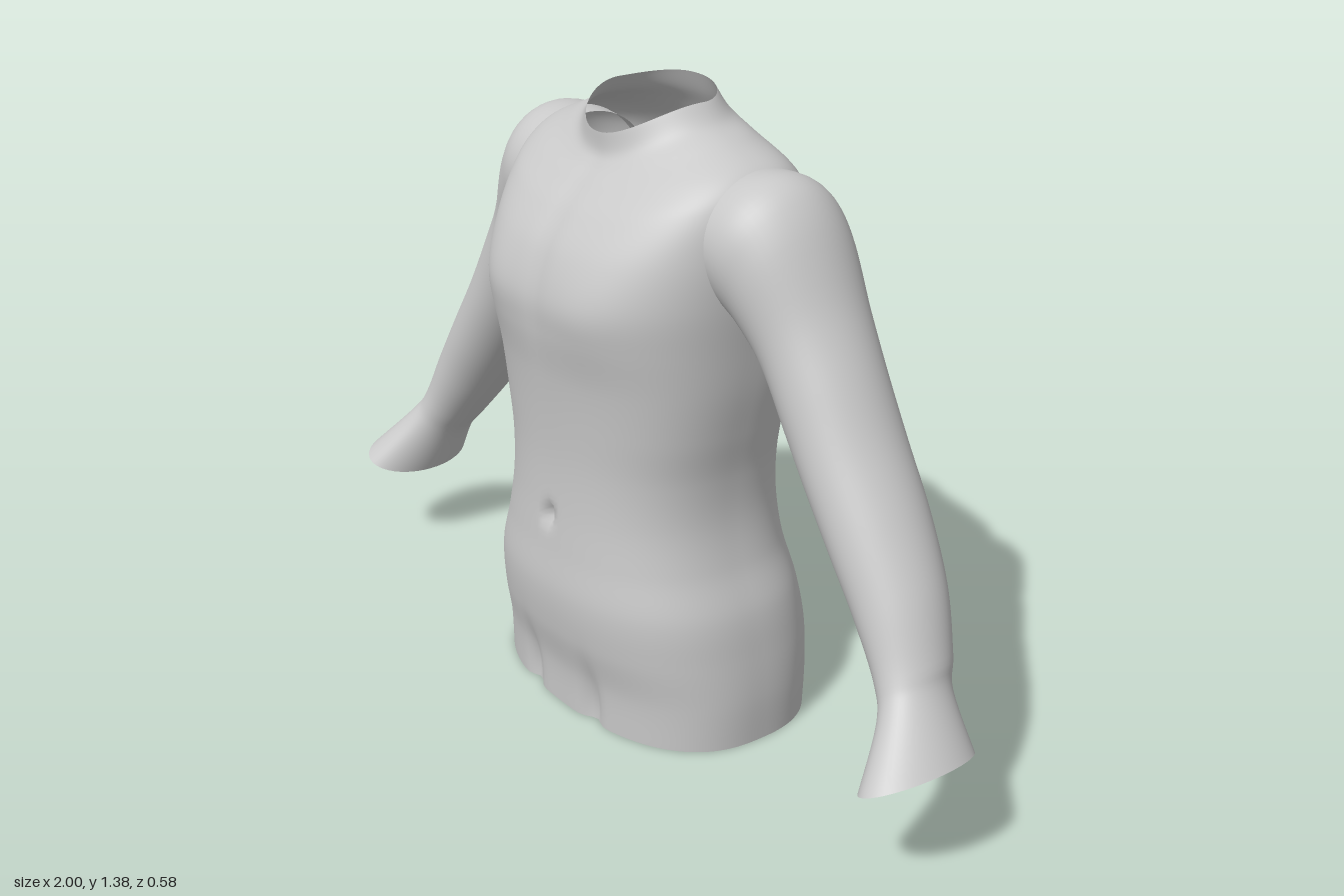
import * as THREE from 'three';

const skin = new THREE.MeshStandardMaterial({ color: 0xc8c8c8, side: THREE.DoubleSide });
skin.name = 'plain grey';

// Smoothly interpolate a list of equal-length rows at t in 0..1
function sampleRows(rows, t) {
  const f = t * (rows.length - 1);
  const i = Math.min(Math.floor(f), rows.length - 2);
  const u = f - i;
  const at = (k) => rows[Math.max(0, Math.min(rows.length - 1, k))];
  return rows[i].map((b, k) => {
    const a = at(i - 1)[k], c = at(i + 1)[k], d = at(i + 2)[k];
    return b + 0.5 * u * (c - a + u * (2 * a - 5 * b + 4 * c - d + u * (3 * (b - c) + d - a)));
  });
}

// Open tube skinned through cross-sections: point(row, angle) gives [x, y, z]
function loft(rows, steps, segs, point) {
  const pos = [], index = [];
  for (let j = 0; j <= steps; j++) {
    const row = sampleRows(rows, j / steps);
    for (let i = 0; i < segs; i++) pos.push(...point(row, (i / segs) * Math.PI * 2));
  }
  for (let j = 0; j < steps; j++) {
    for (let i = 0; i < segs; i++) {
      const a = j * segs + i, b = j * segs + ((i + 1) % segs);
      index.push(a, b, b + segs, a, b + segs, a + segs);
    }
  }
  const g = new THREE.BufferGeometry();
  g.setAttribute('position', new THREE.Float32BufferAttribute(pos, 3));
  g.setIndex(index);
  g.computeVertexNormals();
  return g;
}

const power = (v, p) => Math.sign(v) * Math.abs(v) ** p;
// Soft bump centred on (cx, cy)
const bump = (x, y, cx, cy, rx, ry) => Math.exp(-(((x - cx) / rx) ** 2) - ((y - cy) / ry) ** 2);

// side y, front y, back y, half width, front z, back z, side z
const torsoRows = [
  [0, 0, 0, 0.385, 0.235, -0.28, -0.02],
  [0.1, 0.1, 0.1, 0.385, 0.24, -0.285, -0.02],
  [0.2, 0.2, 0.2, 0.376, 0.262, -0.285, -0.02],
  [0.3, 0.3, 0.3, 0.36, 0.272, -0.268, -0.01],
  [0.4, 0.4, 0.4, 0.325, 0.264, -0.245, 0],
  [0.5, 0.5, 0.5, 0.305, 0.257, -0.234, 0],
  [0.6, 0.6, 0.6, 0.305, 0.255, -0.232, 0],
  [0.7, 0.7, 0.7, 0.32, 0.26, -0.24, 0],
  [0.8, 0.8, 0.8, 0.335, 0.27, -0.256, -0.01],
  [0.9, 0.9, 0.9, 0.345, 0.285, -0.275, -0.02],
  [1.0, 0.98, 1.0, 0.355, 0.287, -0.288, -0.03],
  [1.1, 1.07, 1.1, 0.36, 0.262, -0.273, -0.04],
  [1.19, 1.14, 1.17, 0.355, 0.218, -0.247, -0.05],
  [1.25, 1.19, 1.23, 0.325, 0.172, -0.218, -0.05],
  [1.29, 1.225, 1.285, 0.24, 0.137, -0.187, -0.045],
  [1.315, 1.25, 1.33, 0.18, 0.122, -0.158, -0.04],
  [1.355, 1.29, 1.375, 0.142, 0.12, -0.135, -0.04],
];

function torsoPoint([ys, yf, yb, hw, zf, zb, zc], a) {
  const s = Math.sin(a), c = Math.cos(a), front = c > 0;
  // Flatter back and belly, rounder towards the neck
  const neck = THREE.MathUtils.smoothstep(ys, 1.2, 1.33);
  const p = THREE.MathUtils.lerp(front ? 0.83 : 0.76, 1, neck);
  const x = hw * power(s, p);
  const y = ys + ((front ? yf : yb) - ys) * c * c;
  let z = zc + (front ? zf - zc : zc - zb) * power(c, p);
  const ax = Math.abs(x);
  if (front) {
    z += 0.012 * bump(ax, y, 0.17, 0.97, 0.1, 0.1); // chest muscles
    z -= 0.008 * bump(x, y, 0, 1.08, 0.03, 0.16); // breastbone
    z -= 0.025 * bump(x, y, 0, 0.47, 0.014, 0.022); // navel
    z -= 0.02 * bump(ax, y, 0.11, 0.03, 0.025, 0.09); // groin folds
  } else {
    z += 0.016 * bump(x, y, 0, 0.75, 0.045, 0.42); // spine furrow
    z += 0.045 * bump(x, y, 0, 0.05, 0.016, 0.16); // cleft
    z -= 0.012 * bump(ax, y, 0.2, 1.02, 0.08, 0.14); // shoulder blades
  }
  return [x, y, z];
}

// inner x, inner y, outer x, outer y, front z, back z
const armRows = [
  [0.25, 0.99, 0.27, 1.25, 0.1, -0.2],
  [0.32, 0.96, 0.39, 1.255, 0.105, -0.205],
  [0.36, 0.925, 0.47, 1.19, 0.09, -0.2],
  [0.405, 0.865, 0.55, 1.03, 0.065, -0.19],
  [0.48, 0.745, 0.615, 0.915, 0.06, -0.182],
  [0.55, 0.645, 0.68, 0.8, 0.06, -0.178],
  [0.62, 0.55, 0.765, 0.67, 0.06, -0.168],
  [0.7, 0.45, 0.84, 0.545, 0.06, -0.145],
  [0.78, 0.355, 0.89, 0.43, 0.068, -0.11],
  [0.825, 0.295, 0.915, 0.375, 0.095, -0.085],
  [0.862, 0.202, 1.0, 0.27, 0.188, -0.085],
];

function armPoint([xi, yi, xo, yo, zf, zb], a) {
  const u = (1 - Math.cos(a)) / 2;
  return [xi + (xo - xi) * u, yi + (yo - yi) * u, (zf + zb) / 2 + ((zf - zb) / 2) * Math.sin(a)];
}

export function createModel() {
  const model = new THREE.Group();
  model.name = 'torso with arms';

  const torso = new THREE.Mesh(loft(torsoRows, 128, 160, torsoPoint), skin);
  torso.name = 'torso';
  model.add(torso);

  // Arms, mirrored left and right; winding is kept outward on both
  for (const side of [1, -1]) {
    const g = loft(armRows, 60, 48, (row, a) => {
      const [x, y, z] = armPoint(row, side * a);
      return [side * x, y, z];
    });
    const arm = new THREE.Mesh(g, skin);
    arm.name = side > 0 ? 'leftArm' : 'rightArm';
    model.add(arm);
  }
  return model;
}
